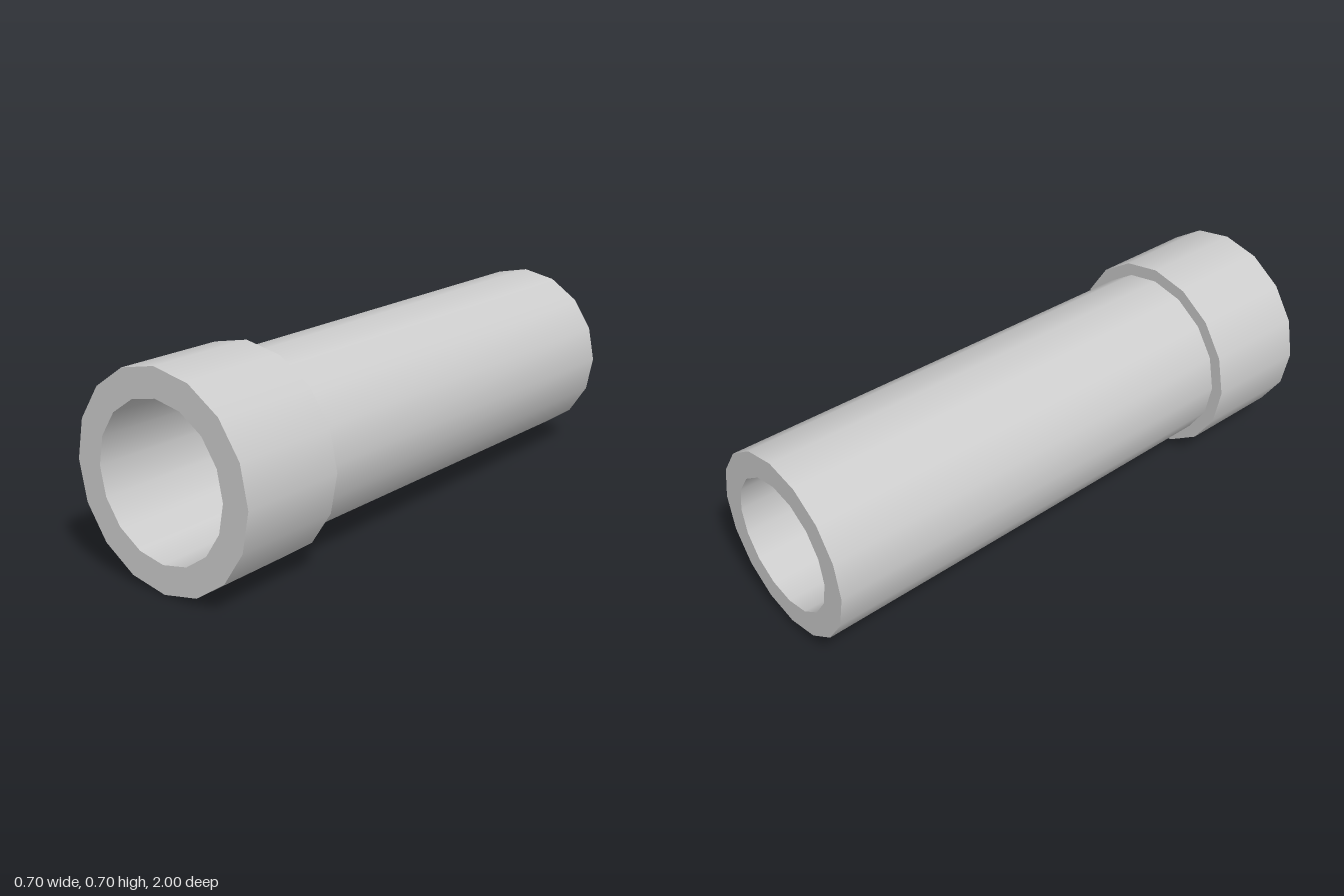
import * as THREE from 'three';

const SIDES = 16;
const CENTER_Y = 0.352;

export function createModel() {
  const group = new THREE.Group();
  group.name = 'pipe';
  const grey = new THREE.MeshStandardMaterial({ color: 0xcccccc });
  grey.name = 'plain grey';

  // One band swept around the z axis; its outside lies to the right of from -> to
  const band = (name, from, to) => {
    const points = [from, to].map(([r, z]) => new THREE.Vector2(r, z));
    const geometry = new THREE.LatheGeometry(points, SIDES);
    geometry.rotateX(Math.PI / 2);
    const mesh = new THREE.Mesh(geometry, grey);
    mesh.name = name;
    mesh.position.y = CENTER_Y;
    group.add(mesh);
  };

  // Closed profile as [radius, z]: separate bands keep the rims sharp
  const profile = [
    ['backRim', [0.231, -1]],
    ['tubeWall', [0.318, -1]],
    ['collarShoulder', [0.307, 0.617]],
    ['collarWall', [0.352, 0.617]],
    ['frontRim', [0.352, 1]],
    ['bore', [0.256, 1]],
  ];
  profile.forEach(([name, from], i) => {
    band(name, from, profile[(i + 1) % profile.length][1]);
  });

  return group;
}
